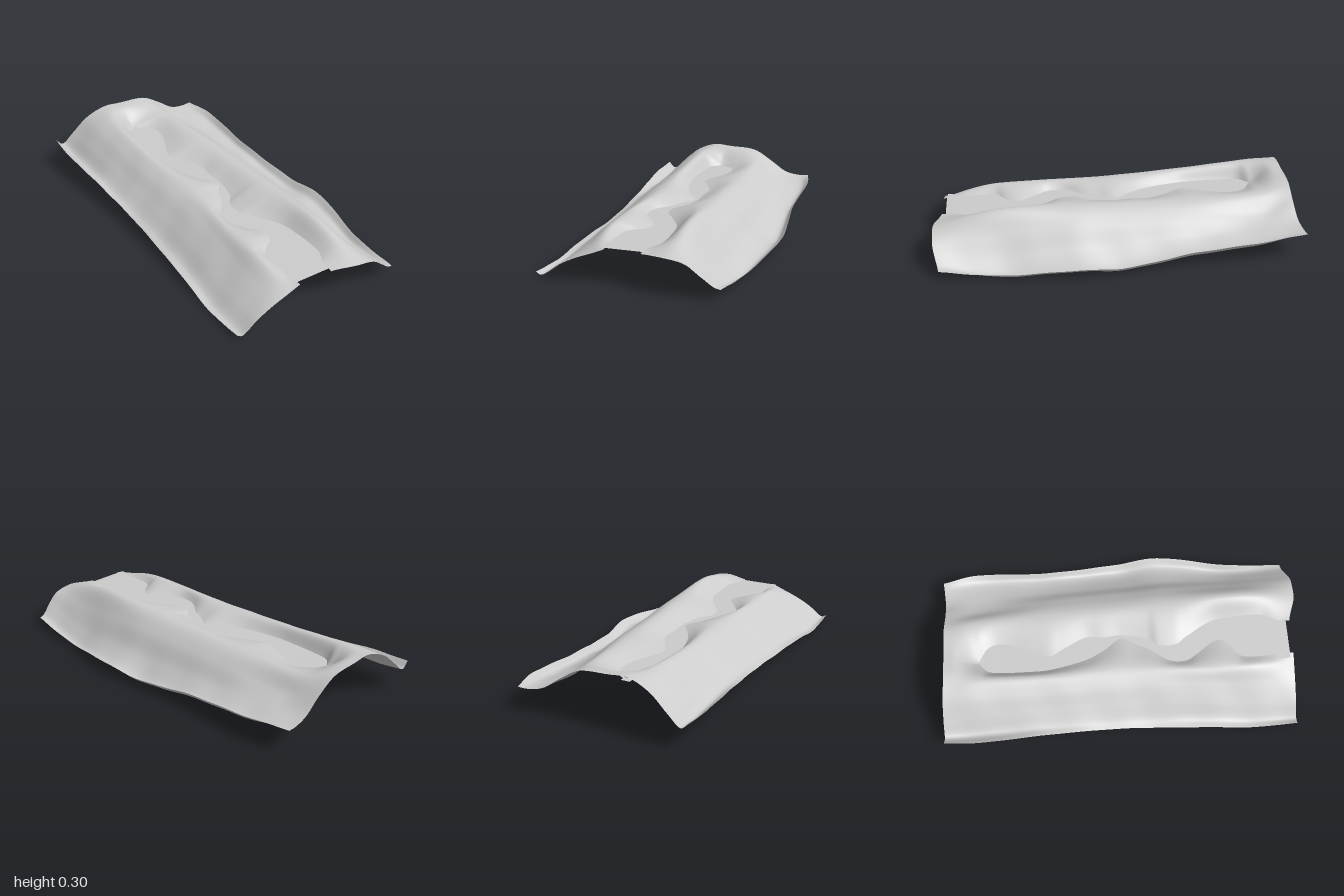
import * as THREE from 'three';
import { mergeVertices } from 'three/addons/utils/BufferGeometryUtils.js';

// Each row: z, then x,y pairs from the outer rim up to the crest.
const leftBank = [
  [-1.0, -.53, .15, -.49, .115, -.42, .17, -.32, .255, -.20, .30],
  [-0.8, -.535, .135, -.48, .095, -.40, .17, -.31, .25, -.22, .285],
  [-0.4, -.505, .10, -.465, .098, -.38, .155, -.30, .22, -.22, .255],
  [0.0, -.49, .06, -.45, .075, -.37, .14, -.28, .21, -.19, .24],
  [0.4, -.505, .04, -.46, .045, -.38, .115, -.29, .185, -.22, .23],
  [0.7, -.518, .012, -.48, .012, -.40, .077, -.30, .16, -.22, .22],
  [1.0, -.515, .03, -.485, .015, -.40, .07, -.30, .12, -.20, .16],
];
const rightBank = [
  [-1.0, .42, .135, .37, .132, .28, .15, .18, .217, .07, .28],
  [-0.8, .46, .13, .42, .10, .32, .118, .215, .165, .12, .245],
  [-0.4, .465, .09, .435, .06, .335, .10, .245, .183, .14, .24],
  [0.0, .51, .05, .465, .016, .355, .082, .26, .185, .15, .245],
  [0.25, .53, .062, .48, .03, .37, .08, .27, .19, .165, .253],
  [0.65, .475, .03, .44, .005, .37, .055, .28, .16, .18, .262],
  [1.0, .44, .05, .41, .06, .35, .11, .28, .165, .19, .185],
];
// Winding edges of the channel: z, x.
const leftShore = [[-1, -.1], [-.81, -.1], [-.76, -.15], [-.7, -.165], [-.5, -.17], [-.4, -.165], [-.2, -.12],
  [-.1, -.07], [0, -.008], [.08, -.05], [.15, -.08], [.25, -.15], [.35, -.16], [.42, -.12], [.5, -.065],
  [.55, -.05], [.6, -.08], [.66, -.15], [.8, -.16], [1, -.15]];
const rightShore = [[-1, -.1], [-.81, -.1], [-.76, -.03], [-.7, 0], [-.6, -.01], [-.5, -.05], [-.4, -.085],
  [-.33, -.05], [-.2, .01], [-.1, .005], [0, .012], [.15, -.02], [.2, -.06], [.3, -.06], [.36, -.02],
  [.5, .06], [.6, .08], [.8, .085], [.9, .05], [1, .04]];
const shoreHeight = [[-1, .295], [-.92, .285], [-.82, .212], [-.75, .203], [0, .195], [.9, .185], [1, .18]];

// Smooth lookup of a table row at z
function sample(table, z) {
  let i = 0;
  while (i < table.length - 2 && z > table[i + 1][0]) i++;
  const a = table[i], b = table[i + 1], h = b[0] - a[0];
  const t = THREE.MathUtils.clamp((z - a[0]) / h, 0, 1);
  const p = table[Math.max(i - 1, 0)], n = table[Math.min(i + 2, table.length - 1)];
  return a.slice(1).map((v, j) => {
    const k = j + 1;
    const m0 = (b[k] - p[k]) / (b[0] - p[0]) * h, m1 = (n[k] - v) / (n[0] - a[0]) * h;
    const t2 = t * t, t3 = t2 * t;
    return (2 * t3 - 3 * t2 + 1) * v + (t3 - 2 * t2 + t) * m0 + (3 * t2 - 2 * t3) * b[k] + (t3 - t2) * m1;
  });
}

// The two shores at z; they share one point wherever the channel is closed
function shores(z) {
  const l = sample(leftShore, z)[0], r = sample(rightShore, z)[0];
  return z < -.81 || l > r ? [(l + r) / 2, (l + r) / 2] : [l, r];
}

// Points of one bank's cross-section, rim to shore
function bankSection(bank, shoreX, z, count) {
  const row = sample(bank, z), pts = [];
  for (let i = 0; i < row.length; i += 2) pts.push(new THREE.Vector3(row[i], row[i + 1], 0));
  pts.push(new THREE.Vector3(shoreX, sample(shoreHeight, z)[0], 0));
  return new THREE.CatmullRomCurve3(pts).getPoints(count);
}

function gridGeometry(rows, skip) {
  const cols = rows[0].length, index = [];
  for (let j = 0; j < rows.length - 1; j++) {
    for (let i = 0; i < cols - 1; i++) {
      if (i === skip) continue;
      const a = j * cols + i, b = a + cols;
      index.push(a, b, a + 1, a + 1, b, b + 1);
    }
  }
  const g = new THREE.BufferGeometry().setFromPoints(rows.flat());
  g.setIndex(index);
  const merged = mergeVertices(g, 1e-5);
  merged.computeVertexNormals();
  return merged;
}

export function createModel() {
  const group = new THREE.Group();
  const material = new THREE.MeshStandardMaterial({ color: 0xcccccc, side: THREE.DoubleSide });
  const add = (name, geometry) => {
    const mesh = new THREE.Mesh(geometry, material);
    mesh.name = name;
    group.add(mesh);
  };
  const smooth = THREE.MathUtils.smoothstep;

  // Hillsides: one draped sheet, open along the channel and joined at its head
  const steps = 36, rowCount = 160, land = [];
  for (let j = 0; j <= rowCount; j++) {
    const z = -1 + 2 * j / rowCount;
    const [l, r] = shores(z);
    const row = [...bankSection(leftBank, l, z, steps), ...bankSection(rightBank, r, z, steps).reverse()];
    for (const p of row) {
      // uneven front and back borders, and faint folds on the slopes
      const front = .95 + .045 * smooth(p.x, .02, .2) - .03 * smooth(p.x, .3, .45);
      const back = .975 + .025 * smooth(Math.abs(p.x), .15, .5);
      p.z = z * (1 + ((z > 0 ? front : back) - 1) * z ** 4);
      p.y += .003 * smooth(Math.abs(p.x), .2, .35) * Math.sin(z * 17 + p.x * 9) * Math.sin(z * 7 + 1);
      p.y = Math.max(p.y, 0);
    }
    land.push(row);
  }
  add('hillsides', gridGeometry(land, steps));

  // Water: a flat strip tucked just under both shores and the head of the channel
  const water = [];
  for (let j = 0; j <= 80; j++) {
    const z = -.83 + 1.76 * j / 80;
    const [l, r] = shores(z);
    const y = sample(shoreHeight, Math.max(z, -.8))[0] - .001;
    water.push([new THREE.Vector3(l - .025, y, z), new THREE.Vector3(r + .025, y, z)]);
  }
  add('water', gridGeometry(water, -1));
  return group;
}
